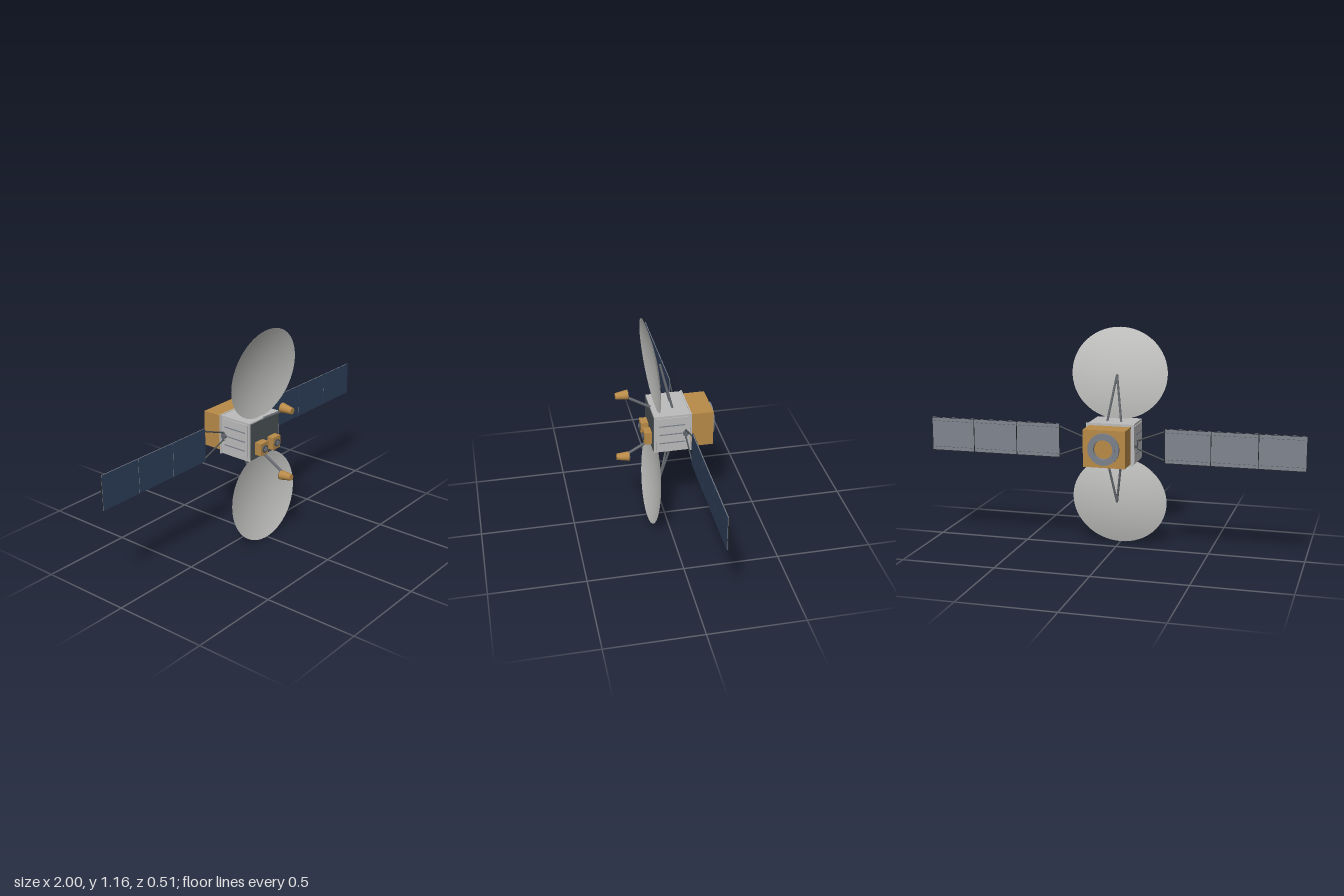
import * as THREE from 'three';

const mat = (name, color, extra = {}) => {
  const m = new THREE.MeshStandardMaterial({ color, ...extra });
  m.name = name;
  return m;
};

export function createModel() {
  const silver = mat('silver body', 0xbcbcbc);
  const dishGrey = mat('dish grey', 0xc6c6c4, { side: THREE.DoubleSide });
  const gold = mat('gold foil', 0xb88a48);
  const charcoal = mat('charcoal', 0x4c5356);
  const steel = mat('steel strut', 0x666a70);
  const ringGrey = mat('ring grey', 0x7c828c);
  const cellBlue = mat('solar cell blue', 0x2e3f5a);
  const panelBack = mat('panel back grey', 0x80848e);
  const black = mat('dark trim', 0x26292c);

  const model = new THREE.Group();
  const craft = new THREE.Group(); // all parts are laid out around the body's centre height
  craft.name = 'satellite';
  craft.position.y = 0.5825;
  model.add(craft);

  const add = (parent, name, geo, material, x = 0, y = 0, z = 0) => {
    const m = new THREE.Mesh(geo, material);
    m.name = name;
    m.position.set(x, y, z);
    parent.add(m);
    return m;
  };
  const box = (parent, name, material, w, h, d, x, y, z) =>
    add(parent, name, new THREE.BoxGeometry(w, h, d), material, x, y, z);
  // Tapered round bar from a to b
  const bar = (parent, name, material, a, b, r0, r1 = r0, sides = 12) => {
    const p = new THREE.Vector3(...a), q = new THREE.Vector3(...b);
    const dir = q.clone().sub(p);
    const m = add(parent, name, new THREE.CylinderGeometry(r1, r0, dir.length(), sides), material);
    m.position.copy(p).add(q).multiplyScalar(0.5);
    m.quaternion.setFromUnitVectors(new THREE.Vector3(0, 1, 0), dir.normalize());
    return m;
  };

  // Main body, front plate and rear flange
  box(craft, 'body', silver, 0.24, 0.212, 0.19, 0, 0, -0.017);
  box(craft, 'frontPlate', charcoal, 0.226, 0.2, 0.006, 0, 0, 0.079);
  box(craft, 'rearFlange', silver, 0.254, 0.218, 0.007, 0, 0, -0.115);
  for (const s of [-1, 1]) {
    box(craft, 'sidePanel', silver, 0.008, 0.19, 0.165, s * 0.121, 0, -0.017);
    for (const y of [-0.05, 0, 0.05])
      box(craft, 'sideRib', ringGrey, 0.004, 0.005, 0.135, s * 0.126, y, -0.017);
  }

  // Rear propulsion module with its adapter ring
  box(craft, 'rearModule', gold, 0.22, 0.193, 0.12, 0, 0, -0.177);
  const ringProfile = [[0.05, 0], [0.05, 0.019], [0.062, 0.019], [0.062, 0.014],
    [0.082, 0.014], [0.082, 0]].map(([r, y]) => new THREE.Vector2(r, y));
  const flat = new THREE.LatheGeometry(ringProfile.reverse(), 48).toNonIndexed();
  flat.computeVertexNormals();
  const ring = add(craft, 'adapterRing', flat, mat('ring face grey', 0x7c828c, { side: THREE.DoubleSide }), 0, 0, -0.237);
  ring.material = ringGrey;
  ringGrey.side = THREE.DoubleSide;
  ring.rotation.x = -Math.PI / 2;

  // Pair of instruments on the front
  for (const s of [-1, 1]) {
    box(craft, 'instrument', gold, 0.06, 0.068, 0.04, s * 0.051, -0.042, 0.101);
    bar(craft, 'instrumentLens', charcoal, [s * 0.051, -0.042, 0.12], [s * 0.051, -0.042, 0.128], 0.02, 0.02, 16);
    bar(craft, 'lensCentre', ringGrey, [s * 0.051, -0.042, 0.127], [s * 0.051, -0.042, 0.129], 0.013, 0.013, 16);
  }

  // Offset dish antenna: an elliptical cut of a paraboloid with a planar rim
  const dishGeometry = () => {
    const a = 0.258, b = 0.24, mid = 0.3425, offset = 0.092, k = 0.55;
    const g = new THREE.RingGeometry(0.001, 1, 64, 12);
    const p = g.attributes.position;
    for (let i = 0; i < p.count; i++) {
      const u = p.getX(i), v = p.getY(i);
      const z = 0.0385 + k * ((b * v + offset) ** 2 + (b * u) ** 2);
      p.setXYZ(i, a * u, mid + b * v, z);
    }
    g.computeVertexNormals();
    return g;
  };

  // Antenna assembly above the body, repeated upside down below it
  for (const turn of [0, Math.PI]) {
    const antenna = new THREE.Group();
    antenna.name = turn ? 'lowerAntenna' : 'upperAntenna';
    antenna.rotation.z = turn;
    craft.add(antenna);
    add(antenna, 'dish', dishGeometry(), dishGrey);
    for (const s of [-1, 1])
      bar(antenna, 'dishStrut', steel, [s * 0.038, 0.1, -0.035], [0, 0.343, 0.023], 0.006);
    bar(antenna, 'feedArm', steel, [0, 0.1, 0.075], [0, 0.18, 0.212], 0.0075);
    bar(antenna, 'feedHorn', gold, [0, 0.188, 0.192], [0, 0.184, 0.257], 0.026, 0.017, 24);
    bar(antenna, 'hornMouth', charcoal, [0, 0.1882, 0.189], [0, 0.188, 0.192], 0.0255, 0.0255, 24);
  }

  // Solar wing on the left, repeated on the right
  for (const turn of [0, Math.PI]) {
    const wing = new THREE.Group();
    wing.name = turn ? 'rightSolarWing' : 'leftSolarWing';
    wing.rotation.z = turn;
    wing.position.z = -0.086;
    craft.add(wing);
    bar(wing, 'wingHub', steel, [0.118, 0, 0], [0.138, 0, 0], 0.015, 0.015, 16);
    box(wing, 'hubBracket', steel, 0.008, 0.05, 0.01, 0.136, 0, 0);
    for (const s of [-1, 1])
      bar(wing, 'yokeBar', charcoal, [0.134, s * 0.02, 0], [0.286, s * 0.077, 0], 0.004, 0.004, 8);
    for (let i = 0; i < 3; i++) {
      const x = 0.3985 + i * 0.2407;
      box(wing, 'panelCore', panelBack, 0.237, 0.181, 0.004, x, 0, -0.001);
      box(wing, 'solarCells', cellBlue, 0.237, 0.181, 0.002, x, 0, 0.002);
      for (const s of [-1, 1]) {
        box(wing, 'panelEdge', black, 0.237, 0.003, 0.002, x, s * 0.089, -0.0035);
        for (let d = 0; d < 9; d++)
          box(wing, 'backStitch', charcoal, 0.013, 0.002, 0.001, x + (d - 4) * 0.0255, s * 0.07, -0.0033);
      }
    }
    // Hinges between the panels and the end trim
    for (const x of [0.281, 0.519, 0.7595, 0.9985])
      box(wing, 'hingeStrip', black, 0.003, 0.181, 0.004, x, 0, -0.003);
  }
  return model;
}
